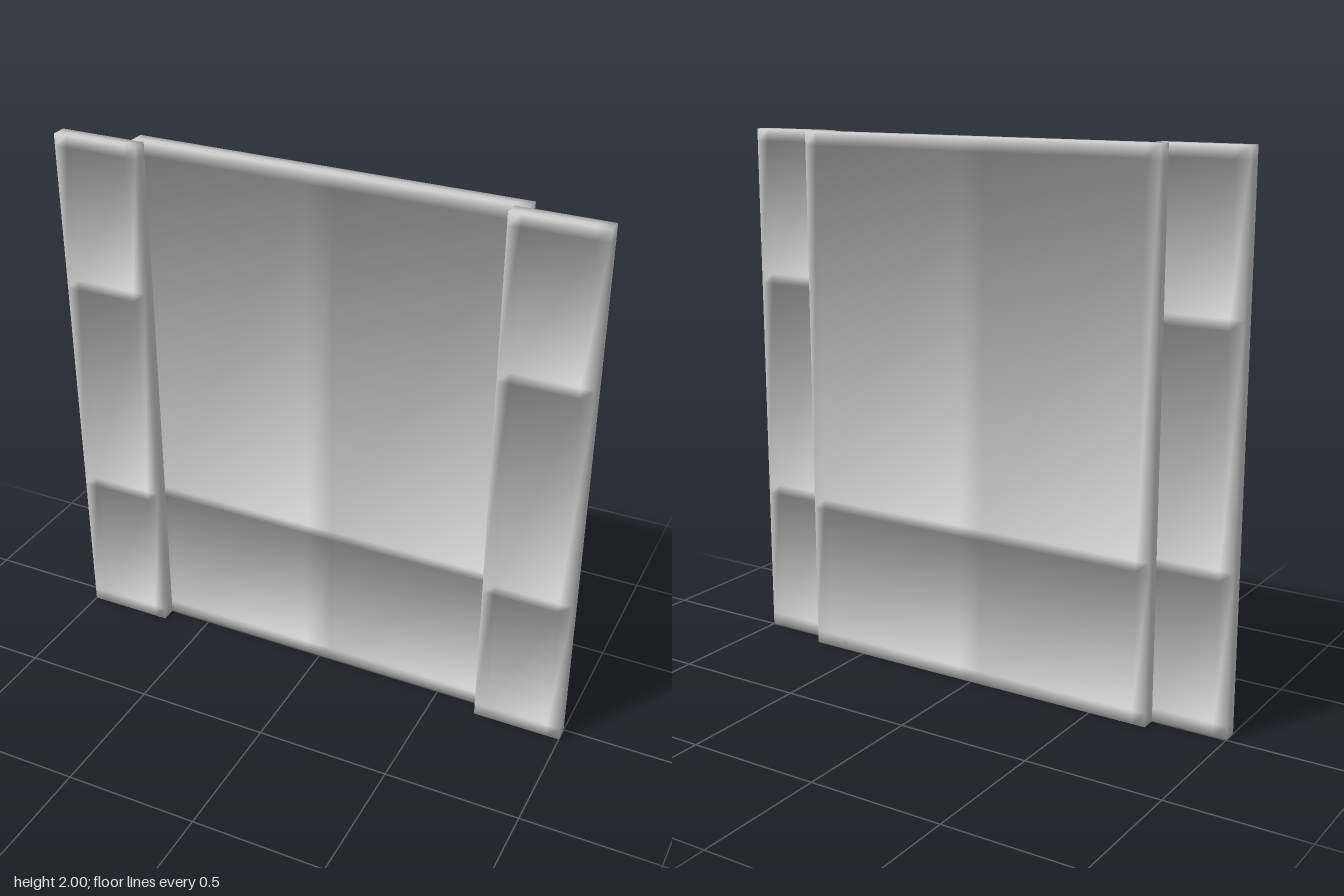
import * as THREE from 'three';

const DEPTH = 0.029; // half thickness of a frame
const PANE = 0.003; // half thickness of a pane

// A framed panel: odd cells of the xs/ys grid are panes, the rest is frame.
// Normals are blended across frame and panes for the soft moulded shading.
function makePanel(name, xs, ys, zMid, material) {
  const parts = { frame: [], panes: [] };
  const blended = new Map();
  const key = (p) => p.map((v) => Math.round(v * 1e4)).join();

  const addQuad = (part, corners, normal) => {
    const [a, b, c] = corners.map((p) => new THREE.Vector3(...p));
    const facing = b.sub(a).cross(c.sub(a)).dot(new THREE.Vector3(...normal));
    const q = facing > 0 ? corners : [...corners].reverse();
    parts[part].push(q[0], q[1], q[2], q[0], q[2], q[3]);
    for (const p of q) {
      const k = key(p);
      if (!blended.has(k)) blended.set(k, new Map());
      blended.get(k).set(normal.join(), normal);
    }
  };

  const nx = xs.length - 1, ny = ys.length - 1;
  const isPane = (i, j) => i % 2 === 1 && j % 2 === 1;
  const height = (i, j) => {
    if (i < 0 || j < 0 || i >= nx || j >= ny) return 0;
    return isPane(i, j) ? PANE : DEPTH;
  };

  for (const side of [1, -1]) {
    for (let i = 0; i < nx; i++) {
      for (let j = 0; j < ny; j++) {
        const [x0, x1, y0, y1] = [xs[i], xs[i + 1], ys[j], ys[j + 1]];
        const h = height(i, j);
        const z = zMid + side * h;
        addQuad(isPane(i, j) ? 'panes' : 'frame',
          [[x0, y0, z], [x1, y0, z], [x1, y1, z], [x0, y1, z]], [0, 0, side]);
        // Walls down to any lower neighbour
        for (const [dx, dy] of [[1, 0], [-1, 0], [0, 1], [0, -1]]) {
          const low = height(i + dx, j + dy);
          if (low >= h || isPane(i, j)) continue;
          const zl = zMid + side * low;
          const x = dx > 0 ? x1 : x0, y = dy > 0 ? y1 : y0;
          const p = dx ? [x, y0] : [x0, y];
          const q = dx ? [x, y1] : [x1, y];
          addQuad('frame', [[...p, z], [...q, z], [...q, zl], [...p, zl]], [dx, dy, 0]);
        }
      }
    }
  }

  const panel = new THREE.Group();
  panel.name = name;
  for (const part of ['frame', 'panes']) {
    const normals = parts[part].map((p) => {
      const n = new THREE.Vector3();
      for (const d of blended.get(key(p)).values()) n.add(new THREE.Vector3(...d));
      return n.normalize().toArray();
    });
    const geometry = new THREE.BufferGeometry();
    geometry.setAttribute('position', new THREE.Float32BufferAttribute(parts[part].flat(), 3));
    geometry.setAttribute('normal', new THREE.Float32BufferAttribute(normals.flat(), 3));
    const mesh = new THREE.Mesh(geometry, material);
    mesh.name = part;
    panel.add(mesh);
  }
  return panel;
}

export function createModel() {
  const model = new THREE.Group();
  model.name = 'slidingWindow';
  const material = new THREE.MeshStandardMaterial({ color: 0xcccccc });

  // Wide rear panel: two columns, two rows
  model.add(makePanel('centrePanel', [-0.72, -0.67, -0.05, 0.05, 0.67, 0.72],
    [0, 0.05, 0.56, 0.6, 1.95, 2], -DEPTH - 0.001, material));

  // Narrow front panels: one column, three rows, mirrored
  const sideXs = [0.67, 0.715, 0.95, 1];
  const sideYs = [0, 0.05, 0.56, 0.6, 1.41, 1.45, 1.955, 2];
  model.add(makePanel('leftPanel', sideXs, sideYs, DEPTH + 0.001, material));
  model.add(makePanel('rightPanel', sideXs.map((x) => -x).reverse(), sideYs, DEPTH + 0.001, material));
  return model;
}
